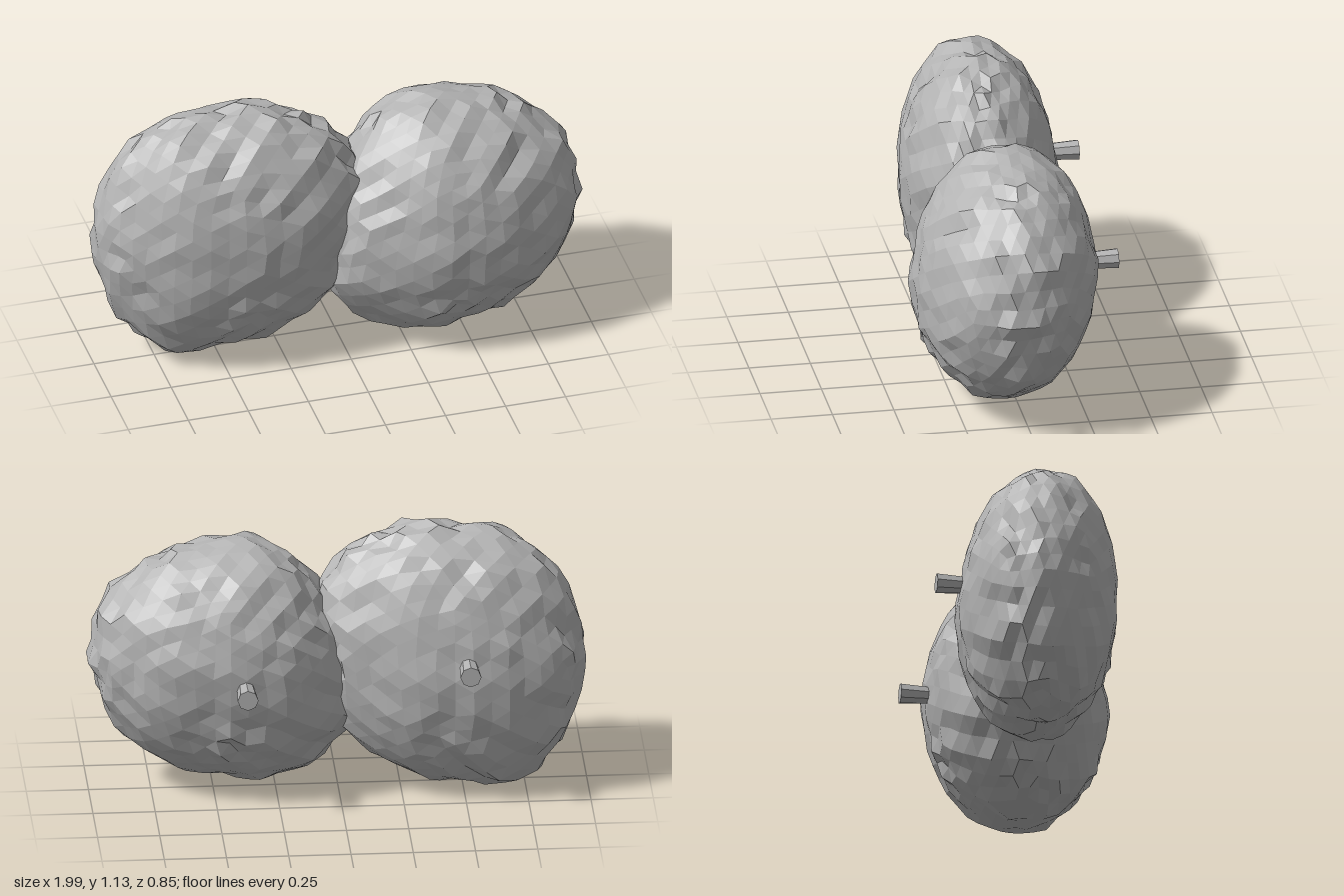
import * as THREE from 'three';

const skin = new THREE.MeshStandardMaterial({ color: 0xb4b4b4, flatShading: true });
skin.name = 'plain grey';

// Repeatable bumpiness, a function of the direction only
const bump = (v, s) =>
  0.022 * Math.sin(23 * v.x + 7 * v.y + s) * Math.sin(27 * v.y - 5 * v.z + 2 * s) +
  0.016 * Math.sin(25 * v.z + 31 * v.x + 3 * s) +
  0.010 * Math.sin(29 * v.y - 19 * v.x + 5 * s);

// Smooth closed outline through radii given at equal angles
function outlineRadius(radii, angle) {
  const n = radii.length;
  const t = ((angle / (2 * Math.PI)) * n + n) % n;
  const i = Math.floor(t);
  const f = t - i;
  const [a, b, c, d] = [-1, 0, 1, 2].map((k) => radii[(i + k + n) % n]);
  return b + 0.5 * f * (c - a + f * (2 * a - 5 * b + 4 * c - d + f * (3 * (b - c) + d - a)));
}

// Faceted, lumpy body: outline in the front plane, elliptical in depth
function lump(name, { centre, radii, depth, slopeX, slopeY, seed }) {
  const geo = new THREE.IcosahedronGeometry(1, 7);
  const pos = geo.attributes.position;
  const v = new THREE.Vector3();
  for (let i = 0; i < pos.count; i++) {
    v.fromBufferAttribute(pos, i).normalize();
    const r = 0.99 + bump(v, seed);
    const wide = r * outlineRadius(radii, Math.atan2(v.y, v.x));
    const x = v.x * wide;
    const y = v.y * wide;
    pos.setXYZ(i, x, y, v.z * r * depth + slopeX * x + slopeY * y);
  }
  geo.computeVertexNormals();
  const mesh = new THREE.Mesh(geo, skin);
  mesh.name = name;
  mesh.position.set(...centre);
  return mesh;
}

// Short peg sticking out of the back, its wide end outwards
function stem(name, x, y) {
  const geo = new THREE.CylinderGeometry(0.032, 0.042, 0.18, 8);
  geo.rotateX(Math.PI / 2);
  const mesh = new THREE.Mesh(geo, skin);
  mesh.name = name;
  mesh.position.set(x, y, -0.34);
  return mesh;
}

export function createModel() {
  const model = new THREE.Group();
  model.name = 'twinLumps';
  model.add(
    lump('rightLump', {
      centre: [-0.45, 0.57, -0.01],
      radii: [0.545, 0.605, 0.59, 0.56, 0.565, 0.55, 0.545, 0.56, 0.6, 0.54, 0.53, 0.54],
      depth: 0.325, slopeX: 0.065, slopeY: 0.02, seed: 1.3,
    }),
    lump('leftLump', {
      centre: [0.45, 0.56, 0.045],
      radii: [0.545, 0.55, 0.51, 0.515, 0.515, 0.49, 0.55, 0.585, 0.57, 0.515, 0.51, 0.525],
      depth: 0.37, slopeX: 0.02, slopeY: -0.04, seed: 4.1,
    }),
    stem('rightStem', -0.505, 0.63),
    stem('leftStem', 0.39, 0.555)
  );
  return model;
}
